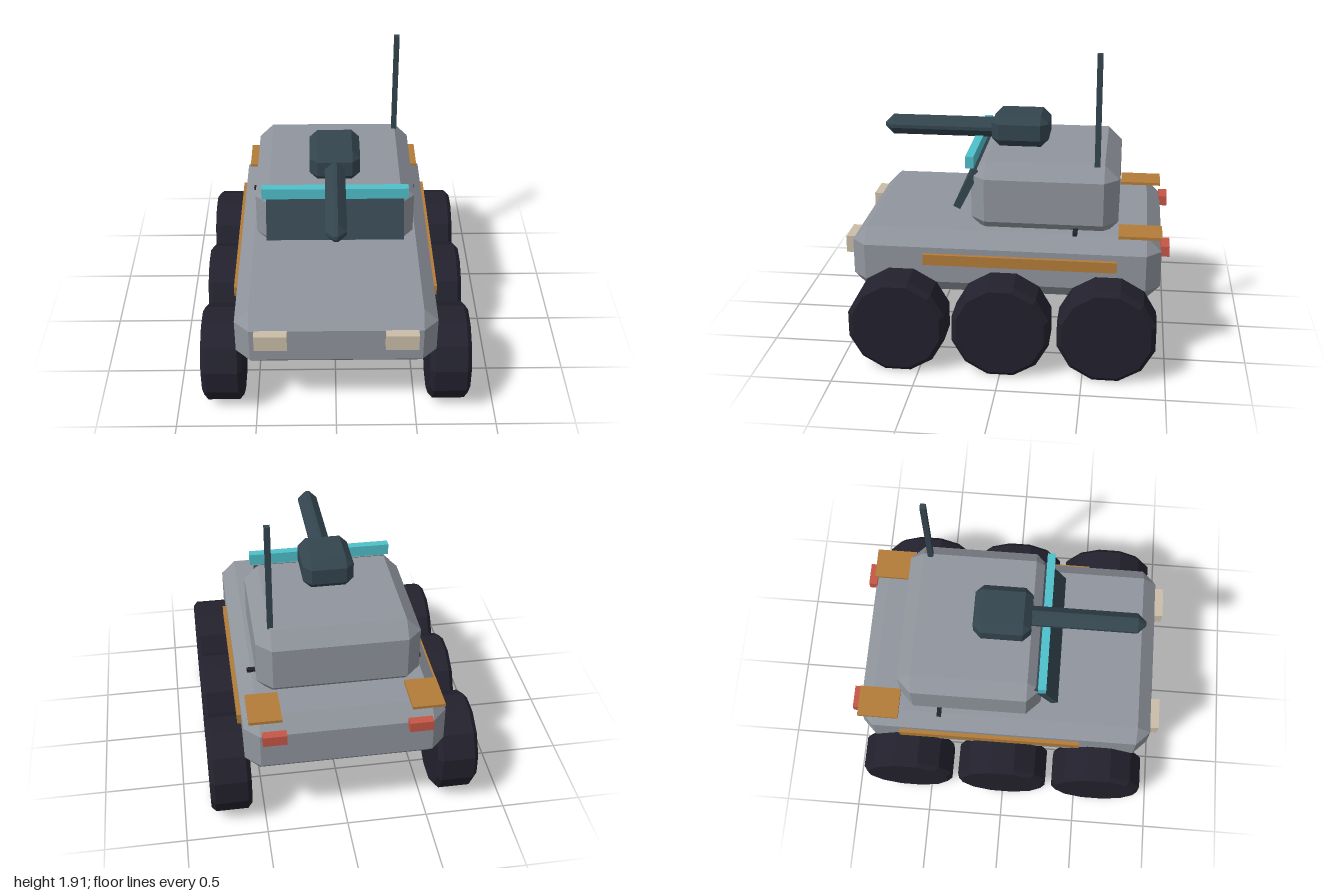
import * as THREE from 'three';
import { ConvexGeometry } from 'three/addons/geometries/ConvexGeometry.js';

const mat = (name, color, flatShading = true) => {
  const m = new THREE.MeshStandardMaterial({ color, flatShading });
  m.name = name;
  return m;
};

export function createModel() {
  const armour = mat('grey armour', 0x90959d);
  const slate = mat('dark slate', 0x34454f);
  const rubber = mat('tyre rubber', 0x22212d);
  const ochre = mat('ochre trim', 0xb27c38);
  const cyan = mat('cyan sensor', 0x4fc0cb);
  const cream = mat('cream lamp', 0xcabda8);
  const red = mat('red lamp', 0xc65646);

  const group = new THREE.Group();
  group.name = 'sixWheeledVehicle';

  const add = (name, geometry, material) => {
    const mesh = new THREE.Mesh(geometry, material);
    mesh.name = name;
    group.add(mesh);
    return mesh;
  };

  // Plain box given by its limits on each axis
  const box = (name, material, [x0, x1], [y0, y1], [z0, z1]) => {
    const mesh = add(name, new THREE.BoxGeometry(x1 - x0, y1 - y0, z1 - z0), material);
    mesh.position.set((x0 + x1) / 2, (y0 + y1) / 2, (z0 + z1) / 2);
    return mesh;
  };

  // Box with every edge and corner cut off by c
  const chamferBox = (name, material, hx, [y0, y1], [z0, z1], c) => {
    const hy = (y1 - y0) / 2, hz = (z1 - z0) / 2;
    const points = [];
    for (const sx of [-1, 1]) for (const sy of [-1, 1]) for (const sz of [-1, 1]) {
      points.push(
        new THREE.Vector3(sx * hx, sy * (hy - c), sz * (hz - c)),
        new THREE.Vector3(sx * (hx - c), sy * hy, sz * (hz - c)),
        new THREE.Vector3(sx * (hx - c), sy * (hy - c), sz * hz));
    }
    const mesh = add(name, new ConvexGeometry(points), material);
    mesh.position.set(0, (y0 + y1) / 2, (z0 + z1) / 2);
    return mesh;
  };

  // Body
  chamferBox('hull', armour, 0.612, [0.42, 0.825], [-0.953, 0.947], 0.09);
  chamferBox('cabin', armour, 0.5, [0.785, 1.235], [-0.685, 0.22], 0.09);

  // Gun turret
  chamferBox('turret', slate, 0.158, [1.24, 1.44], [-0.23, 0.13], 0.05);
  chamferBox('barrel', slate, 0.063, [1.267, 1.393], [0.03, 0.832], 0.052);

  // Windscreen, sensor bar and antenna
  const screen = add('windscreen', new THREE.BoxGeometry(0.86, 0.275, 0.048), slate);
  screen.position.set(0, 1.057, 0.246);
  screen.rotation.x = -0.47;
  box('sensorBar', cyan, [-0.455, 0.455], [1.2, 1.273], [0.197, 0.248]);
  box('antenna', slate, [0.388, 0.422], [1.215, 1.915], [-0.567, -0.533]);

  // Mirrored fittings
  for (const s of [1, -1]) {
    const side = s > 0 ? 'left' : 'right';
    const span = (a, b) => (s > 0 ? [a, b] : [-b, -a]);
    box(side + 'Headlight', cream, span(0.293, 0.49), [0.63, 0.737], [0.93, 1]);
    box(side + 'TailLight', red, span(0.365, 0.51), [0.7, 0.765], [-1, -0.945]);
    box(side + 'RearFlap', ochre, span(0.387, 0.585), [0.832, 0.85], [-0.952, -0.69]);
    box(side + 'SideStripe', ochre, span(0.6, 0.637), [0.63, 0.697], [-0.688, 0.49]);
    box(side + 'DoorHandle', rubber, span(0.46, 0.548), [0.822, 0.842], [-0.442, -0.414]);
  }

  // Wheels: twelve-sided drums with bevelled rims
  const profile = [[0, -0.127], [0.275, -0.127], [0.305, -0.1], [0.305, 0.1], [0.275, 0.127], [0, 0.127]]
    .map(([r, y]) => new THREE.Vector2(r, y));
  const wheel = new THREE.LatheGeometry(profile, 12, Math.PI / 12).rotateZ(Math.PI / 2);
  for (const s of [1, -1]) {
    [['front', 0.63], ['middle', -0.004], ['rear', -0.64]].forEach(([place, z]) => {
      add(place + (s > 0 ? 'Left' : 'Right') + 'Wheel', wheel, rubber).position.set(s * 0.707, 0.295, z);
    });
  }

  return group;
}
